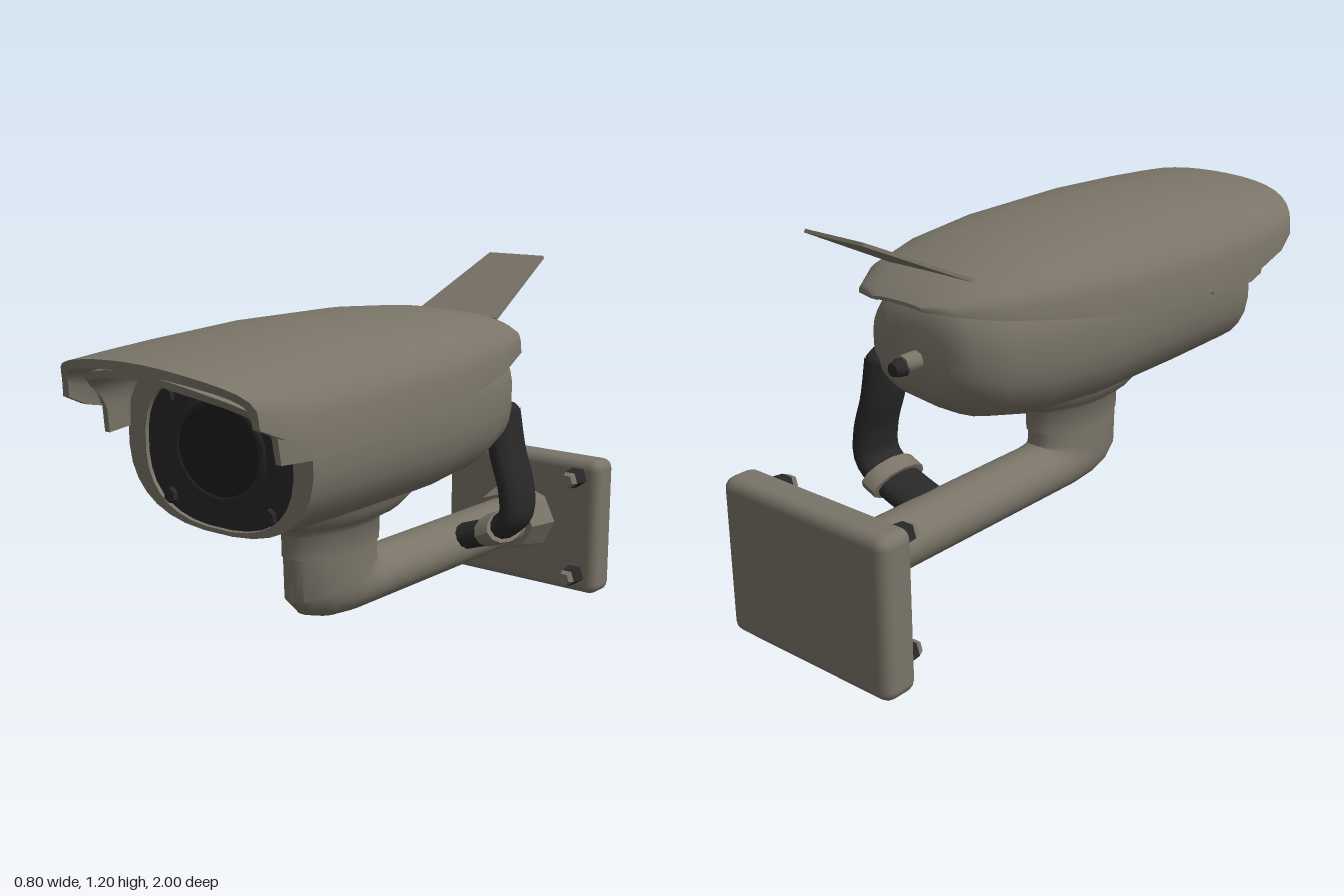
import * as THREE from 'three';
import { toCreasedNormals } from 'three/addons/utils/BufferGeometryUtils.js';
import { RoundedBoxGeometry } from 'three/addons/geometries/RoundedBoxGeometry.js';

const shellMat = new THREE.MeshStandardMaterial({ color: 0x7a7468 });
shellMat.name = 'warm grey metal';
const blackMat = new THREE.MeshStandardMaterial({ color: 0x282828 });
blackMat.name = 'black rubber';
const glassMat = new THREE.MeshStandardMaterial({ color: 0x1d1d1e });
glassMat.name = 'dark glass';

// Skin a series of closed rings (counter-clockwise, seen against the travel direction) and cap both ends.
function loft(rings, crease = 0.7) {
  const n = rings[0].length, pos = rings.flat().flatMap(p => [p.x, p.y, p.z]), idx = [];
  const quad = (a, b, c, d) => idx.push(a, b, c, a, c, d);
  for (let j = 0; j < rings.length - 1; j++) {
    for (let i = 0; i < n; i++) {
      const k = (i + 1) % n;
      quad(j * n + i, j * n + k, (j + 1) * n + k, (j + 1) * n + i);
    }
  }
  const last = (rings.length - 1) * n;
  for (let i = 0; i < n / 2 - 1; i++) {
    quad(n - 1 - i, n - 2 - i, i + 1, i);
    quad(last + i, last + i + 1, last + n - 2 - i, last + n - 1 - i);
  }
  const g = new THREE.BufferGeometry();
  g.setAttribute('position', new THREE.Float32BufferAttribute(pos, 3));
  g.setIndex(idx);
  return toCreasedNormals(g, crease);
}

const V = (x, y, z) => new THREE.Vector3(x, y, z);
const spow = (v, p) => Math.sign(v) * Math.abs(v) ** p;

// Rounded-square ring in the xy plane
function roundRing([z, w, bottom, top], n = 32, p = 0.8) {
  return Array.from({ length: n }, (_, i) => {
    const t = (i + 0.5) / n * Math.PI * 2;
    return V(w * spow(Math.cos(t), p),
      (top + bottom) / 2 + (top - bottom) / 2 * spow(Math.sin(t), p), z);
  });
}

// Thin arch ring, with its sides set back in z by the given amount
function archRing([z, w, edge, top, setBack], thick, n = 20) {
  const arc = t => Array.from({ length: n + 1 }, (_, i) => {
    const a = (1 - 2 * i / n) * Math.PI / 2, s = Math.sin(a);
    const c = Math.max(0, Math.cos(a)) ** 0.6;
    return V((w - t) * s, edge + Math.max(0.004, top - t - edge) * c, z - setBack * s ** 4);
  });
  return [...arc(0), ...arc(thick).reverse()];
}

// Elliptical ring spanning from an inner point to an outer point in the zy plane
function pipeRing([za, ya, zb, yb, hx], n = 24) {
  return Array.from({ length: n }, (_, i) => {
    const t = (i + 0.5) / n * Math.PI * 2, s = Math.sin(t) / 2;
    return V(hx * Math.cos(t), (ya + yb) / 2 + (ya - yb) * s, (za + zb) / 2 + (za - zb) * s);
  });
}

export function createModel() {
  const model = new THREE.Group();
  const add = (name, geo, mat, x = 0, y = 0, z = 0) => {
    const m = new THREE.Mesh(geo, mat);
    m.name = name;
    m.position.set(x, y, z);
    model.add(m);
    return m;
  };

  // Wall plate and its octagonal collar
  add('wallPlate', new RoundedBoxGeometry(0.64, 0.49, 0.12, 2, 0.035), shellMat, 0, 0.245, -0.94);
  const collar = new THREE.CylinderGeometry(0.125, 0.15, 0.11, 8);
  collar.rotateX(Math.PI / 2).scale(1, 0.82, 1);
  add('wallCollar', toCreasedNormals(collar, 0.5), shellMat, 0, 0.25, -0.825);

  // Plate bolts: five-sided dark shank with a grey cap
  for (const x of [-0.24, 0.24]) for (const y of [0.07, 0.43]) {
    const shank = new THREE.CylinderGeometry(0.032, 0.038, 0.06, 5).rotateX(Math.PI / 2);
    add('plateBolt', toCreasedNormals(shank, 0.5), blackMat, x, y, -0.855);
    const cap = new THREE.CylinderGeometry(0.022, 0.032, 0.022, 5).rotateX(Math.PI / 2);
    add('plateBoltCap', toCreasedNormals(cap, 0.5), shellMat, x, y, -0.815);
  }

  // Arm with elbow
  add('supportArm', loft([
    [-0.8, 0.335, -0.8, 0.165, 0.098], [-0.03, 0.335, 0.15, 0.165, 0.1],
    [-0.01, 0.337, 0.25, 0.175, 0.1], [0, 0.34, 0.33, 0.2, 0.1],
    [0, 0.35, 0.38, 0.25, 0.1], [0, 0.388, 0.385, 0.388, 0.1],
  ].map(r => pipeRing(r))), shellMat);

  // Neck flaring into the housing
  add('neck', loft([
    [-0.01, 0.388, 0.39, 0.388, 0.102], [-0.01, 0.46, 0.39, 0.46, 0.106],
    [-0.03, 0.485, 0.41, 0.485, 0.125], [-0.1, 0.495, 0.46, 0.495, 0.15],
    [-0.18, 0.53, 0.54, 0.53, 0.17], [-0.2, 0.6, 0.56, 0.6, 0.19],
  ].map(r => pipeRing(r))), shellMat);

  // Housing, with a shallow recess in the front
  add('housing', loft([
    [-0.53, 0.13, 0.7, 0.88], [-0.5, 0.2, 0.65, 0.95], [-0.4, 0.265, 0.585, 1.0],
    [-0.25, 0.315, 0.55, 1.04], [0, 0.345, 0.53, 1.06], [0.4, 0.355, 0.53, 1.06],
    [0.68, 0.353, 0.535, 1.03], [0.68, 0.283, 0.548, 0.98], [0.64, 0.275, 0.555, 0.975],
  ].map(r => roundRing(r)), 0.8), shellMat);

  // Front mask, lens ring, glass and screws
  add('frontMask', loft([[0.63, 0.28, 0.55, 0.978], [0.67, 0.28, 0.55, 0.978]]
    .map(r => roundRing(r))), blackMat);
  const ring = add('lensRing', new THREE.TorusGeometry(0.155, 0.015, 8, 28), blackMat, 0, 0.77, 0.668);
  ring.scale.set(1.06, 0.9, 0.6);
  const glass = new THREE.CylinderGeometry(0.15, 0.15, 0.008, 28).rotateX(Math.PI / 2).scale(1.06, 0.9, 1);
  add('lensGlass', glass, glassMat, 0, 0.77, 0.67);
  for (const x of [-0.19, 0.19]) for (const y of [0.615, 0.905]) {
    const screw = new THREE.CylinderGeometry(0.022, 0.026, 0.02, 6).rotateX(Math.PI / 2);
    add('maskScrew', toCreasedNormals(screw, 0.5), blackMat, x, y, 0.674);
  }

  // Sunshield over the housing
  add('sunshield', loft([
    [-0.6, 0.1, 0.96, 0.975, 0], [-0.57, 0.18, 0.955, 0.995, 0], [-0.45, 0.265, 0.93, 1.045, 0],
    [-0.25, 0.335, 0.9, 1.08, 0], [0, 0.38, 0.865, 1.1, 0], [0.4, 0.398, 0.838, 1.106, 0],
    [0.7, 0.398, 0.85, 1.09, 0.02], [0.88, 0.388, 0.88, 1.075, 0.06], [1, 0.37, 0.915, 1.062, 0.1],
  ].map(r => archRing(r, 0.025))), shellMat);

  // Inner visor below the shield
  add('innerVisor', loft([
    [0.45, 0.362, 0.81, 1.07, 0], [0.75, 0.366, 0.8, 1.06, 0.08], [0.985, 0.335, 0.8, 1.035, 0.2],
  ].map(r => archRing(r, 0.02))), shellMat);

  // Tilted tail plate: a box whose far end is narrower
  const tail = new THREE.BoxGeometry(1, 0.01, 0.4);
  const p = tail.attributes.position;
  for (let i = 0; i < p.count; i++) p.setX(i, p.getX(i) * (p.getZ(i) > 0 ? 0.32 : 0.22));
  tail.computeVertexNormals();
  add('tailPlate', tail, shellMat, 0, 1.113, -0.64).rotation.x = Math.atan2(0.17, 0.36);

  // Rear connector
  const plug = new THREE.CylinderGeometry(0.03, 0.03, 0.09, 8).rotateX(Math.PI / 2);
  add('rearConnector', toCreasedNormals(plug, 0.9), shellMat, 0, 0.78, -0.545);
  const tip = new THREE.CylinderGeometry(0.03, 0.02, 0.04, 8).rotateX(Math.PI / 2);
  add('rearConnectorTip', toCreasedNormals(tip, 0.9), blackMat, 0, 0.775, -0.605);

  // Cable conduit from the arm to the side of the housing, wider along z
  const path = new THREE.CatmullRomCurve3([
    V(0.06, 0.28, 0), V(0.19, 0.33, 0), V(0.262, 0.39, 0),
    V(0.262, 0.48, 0), V(0.225, 0.6, 0), V(0.2, 0.73, 0),
  ]);
  const conduit = add('cableConduit', new THREE.TubeGeometry(path, 24, 0.046, 12), blackMat, 0, 0, -0.445);
  conduit.scale.z = 1.85;
  const end = add('conduitEnd', new THREE.SphereGeometry(0.046, 12, 8), blackMat, 0.2, 0.72, -0.445);
  end.scale.z = 1.85;
  const clamp = new THREE.CylinderGeometry(0.055, 0.055, 0.055, 12);
  clamp.rotateZ(-Math.PI / 2 + 0.42).scale(1, 1, 1.95);
  add('conduitClamp', toCreasedNormals(clamp, 0.7), shellMat, 0.197, 0.334, -0.445);

  return model;
}
